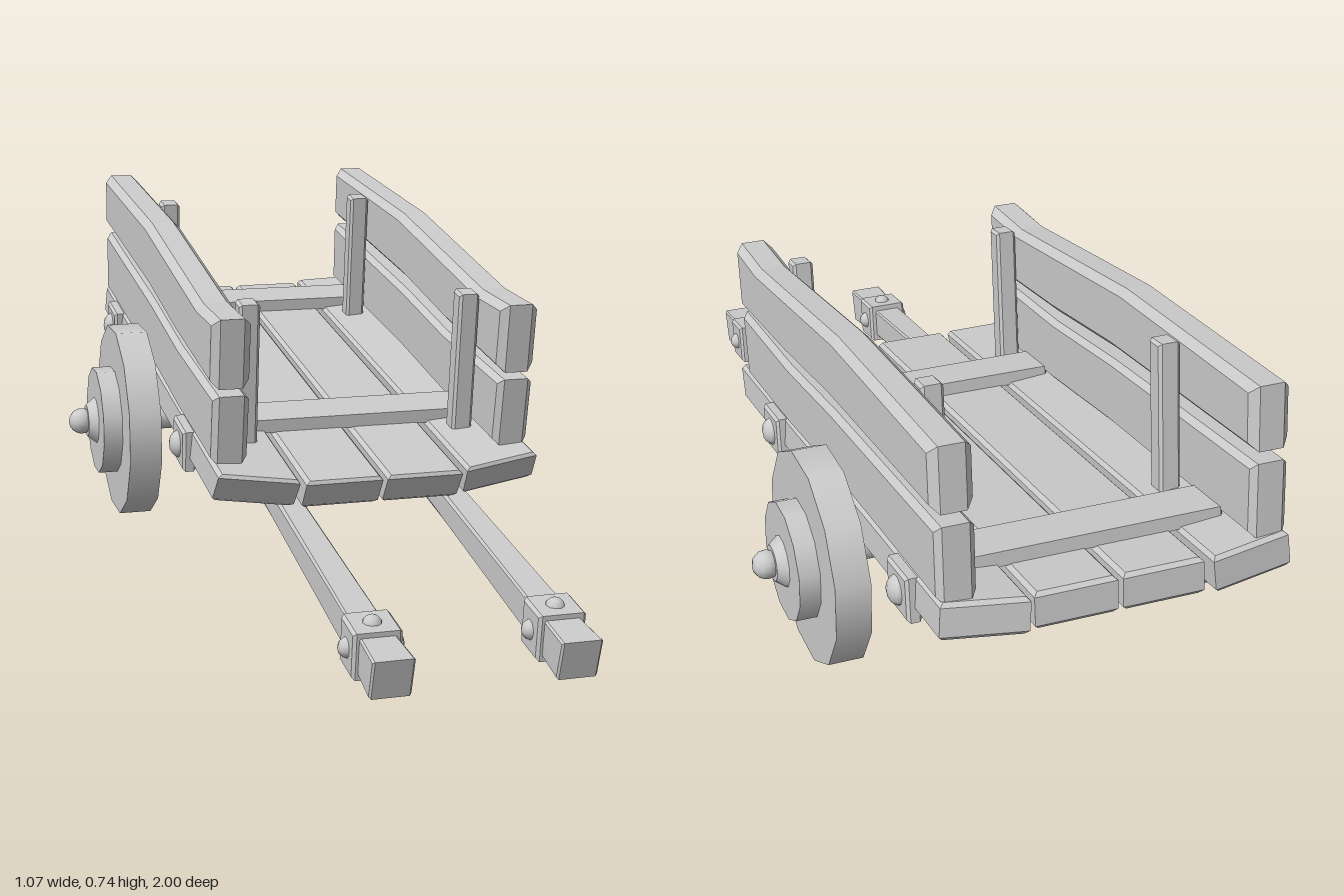
import * as THREE from 'three';

const wood = new THREE.MeshStandardMaterial({ color: 0xcccccc, flatShading: true });
const round = new THREE.MeshStandardMaterial({ color: 0xcccccc });

function add(parent, name, geometry, x = 0, y = 0, z = 0, material = wood) {
  const mesh = new THREE.Mesh(geometry, material);
  mesh.name = name;
  mesh.position.set(x, y, z);
  parent.add(mesh);
  return mesh;
}

// Chamfered slab from a 2D outline, centred on its thickness
function slab(points, thickness, bevel) {
  const shape = new THREE.Shape(points.map(([u, v]) => new THREE.Vector2(u, v)));
  return new THREE.ExtrudeGeometry(shape, {
    depth: thickness - 2 * bevel, bevelEnabled: true, bevelSegments: 1,
    bevelSize: bevel, bevelThickness: bevel, bevelOffset: -bevel,
  }).translate(0, 0, bevel - thickness / 2);
}

// Outline given as [z, y], thickness along x
const sideSlab = (points, thickness, bevel) =>
  slab(points.map(([z, y]) => [-z, y]), thickness, bevel).rotateY(Math.PI / 2);

// Outline given as [x, z], thickness along y
const flatSlab = (points, thickness, bevel) =>
  slab(points.map(([x, z]) => [x, -z]), thickness, bevel).rotateX(-Math.PI / 2);

function block(w, h, d, bevel = 0.006) {
  return sideSlab([[-d / 2, -h / 2], [d / 2, -h / 2], [d / 2, h / 2], [-d / 2, h / 2]], w, bevel);
}

const disc = (rOuter, rInner, width, sides) =>
  new THREE.CylinderGeometry(rOuter, rInner, width, sides).rotateY(Math.PI / sides).rotateZ(-Math.PI / 2);

// Bed plank, its front end cut back towards the underside
function bedPlank(points) {
  const g = flatSlab(points, 0.073, 0.008);
  const p = g.attributes.position;
  for (let i = 0; i < p.count; i++) {
    if (p.getZ(i) > 0.4) p.setZ(i, p.getZ(i) - (0.0365 - p.getY(i)) * 0.55);
  }
  g.computeVertexNormals();
  return g;
}

function buildBed() {
  const bed = new THREE.Group();
  bed.name = 'bed';
  bed.position.set(0, 0.338, -0.3);
  bed.rotation.x = 0.135;
  for (const s of [1, -1]) {
    add(bed, 'innerPlank', bedPlank([[0.005 * s, -0.685], [0.168 * s, -0.685], [0.168 * s, 0.69], [0.005 * s, 0.69]]), 0, -0.0365);
    const outer = add(bed, 'outerPlank',
      bedPlank([[0, -0.7], [0.165 * s, -0.68], [0.165 * s, 0.655], [0, 0.685]]), 0.182 * s, -0.034);
    outer.rotation.z = 0.08 * s;
    // Side clamps with round bolts
    for (const z of [0.343, -0.5]) {
      add(bed, 'sideClamp', block(0.03, 0.09, 0.11), 0.349 * s, -0.034, z);
      add(bed, 'clampBolt', new THREE.SphereGeometry(0.03, 12, 8).scale(0.75, 1, 1), 0.361 * s, -0.034, z, round);
    }
    // Stakes that hold the side boards
    for (const z of [0.446, -0.38]) {
      add(bed, 'stake', block(0.045, 0.315, 0.046), 0.241 * s, 0.155, z);
    }
  }
  // Cross rails above and below the planks
  for (const z of [0.343, -0.5]) {
    add(bed, 'topRail', block(0.55, 0.03, 0.11, 0.005), 0, 0.013, z);
    add(bed, 'bottomRail', block(0.54, 0.03, 0.11, 0.005), 0, -0.083, z);
  }
  return bed;
}

function buildSide(s) {
  const side = new THREE.Group();
  side.name = s > 0 ? 'leftSide' : 'rightSide';
  add(side, 'lowerBoard', sideSlab([
    [0.285, 0.27], [-0.05, 0.312], [-0.35, 0.36], [-0.965, 0.438],
    [-0.95, 0.588], [-0.35, 0.508], [-0.05, 0.458], [0.315, 0.418],
  ], 0.076, 0.012), 0.307 * s);
  add(side, 'upperBoard', sideSlab([
    [0.31, 0.432], [-0.05, 0.482], [-0.35, 0.535], [-0.945, 0.61],
    [-0.93, 0.738], [-0.38, 0.685], [0.17, 0.588], [0.335, 0.58],
  ], 0.082, 0.016), 0.308 * s);
  return side;
}

function buildWheel(s) {
  const wheel = new THREE.Group();
  wheel.name = s > 0 ? 'leftWheel' : 'rightWheel';
  wheel.position.set(0, 0.217, -0.41);
  add(wheel, 'rim', disc(0.224, 0.224, 0.073, 12), 0.392, 0, 0, round);
  add(wheel, 'hub', disc(0.125, 0.125, 0.046, 12), 0.449, 0, 0, round);
  add(wheel, 'hubCap', disc(0.038, 0.055, 0.022, 12), 0.482, 0, 0, round);
  add(wheel, 'axleKnob', new THREE.SphereGeometry(0.03, 12, 8), 0.505, 0, 0, round);
  if (s < 0) wheel.rotation.y = Math.PI;
  return wheel;
}

// Axle carried by a plate and two open half-ring hangers
function buildAxle() {
  const axle = new THREE.Group();
  axle.name = 'axleAssembly';
  axle.position.set(0, 0.217, -0.41);
  add(axle, 'axle', disc(0.03, 0.03, 0.74, 12), 0, 0, 0, round);
  add(axle, 'axlePlate', block(0.5, 0.025, 0.11, 0.004), 0, 0.052, 0).rotation.x = 0.135;
  const ring = new THREE.Shape();
  ring.moveTo(-0.048, 0.055);
  ring.lineTo(-0.048, 0);
  ring.absarc(0, 0, 0.048, Math.PI, 2 * Math.PI, false);
  ring.lineTo(0.048, 0.055);
  ring.lineTo(0.03, 0.055);
  ring.lineTo(0.03, 0);
  ring.absarc(0, 0, 0.03, 0, Math.PI, true);
  ring.lineTo(-0.03, 0.055);
  for (const s of [1, -1]) {
    const g = new THREE.ExtrudeGeometry(ring, { depth: 0.05, bevelEnabled: false, curveSegments: 8 });
    add(axle, 'axleHanger', g.translate(0, 0, -0.025).rotateY(Math.PI / 2), 0.2 * s);
  }
  return axle;
}

function buildShaft(s) {
  const shaft = new THREE.Group();
  shaft.name = s > 0 ? 'leftShaft' : 'rightShaft';
  shaft.position.x = 0.178 * s;
  const bar = sideSlab([
    [0.975, 0.005], [0.82, 0.032], [0.3, 0.118], [-0.13, 0.186],
    [-0.17, 0.204], [-0.165, 0.228], [-0.1, 0.235], [0.3, 0.18], [0.82, 0.103], [1.0, 0.083],
  ], 0.08, 0.004);
  // Bar narrows behind the grip
  const p = bar.attributes.position;
  for (let i = 0; i < p.count; i++) {
    const z = p.getZ(i);
    p.setX(i, p.getX(i) * (z > 0.9 ? 1 : z > 0.6 ? 0.8 : 0.64));
  }
  bar.computeVertexNormals();
  add(shaft, 'bar', bar);
  const collar = new THREE.Group();
  collar.name = 'collar';
  collar.position.set(0, 0.063, 0.857);
  collar.rotation.x = 0.14;
  add(collar, 'collarBand', block(0.094, 0.094, 0.085));
  const bolt = () => new THREE.SphereGeometry(0.02, 10, 6);
  add(collar, 'collarBolt', bolt(), 0.044, 0, 0, round);
  add(collar, 'collarBolt', bolt(), -0.044, 0, 0, round);
  add(collar, 'collarBolt', bolt(), 0, 0.041, 0, round);
  shaft.add(collar);
  return shaft;
}

export function createModel() {
  const cart = new THREE.Group();
  cart.name = 'cart';
  cart.add(buildBed(), buildAxle());
  for (const s of [1, -1]) cart.add(buildSide(s), buildWheel(s), buildShaft(s));
  return cart;
}
